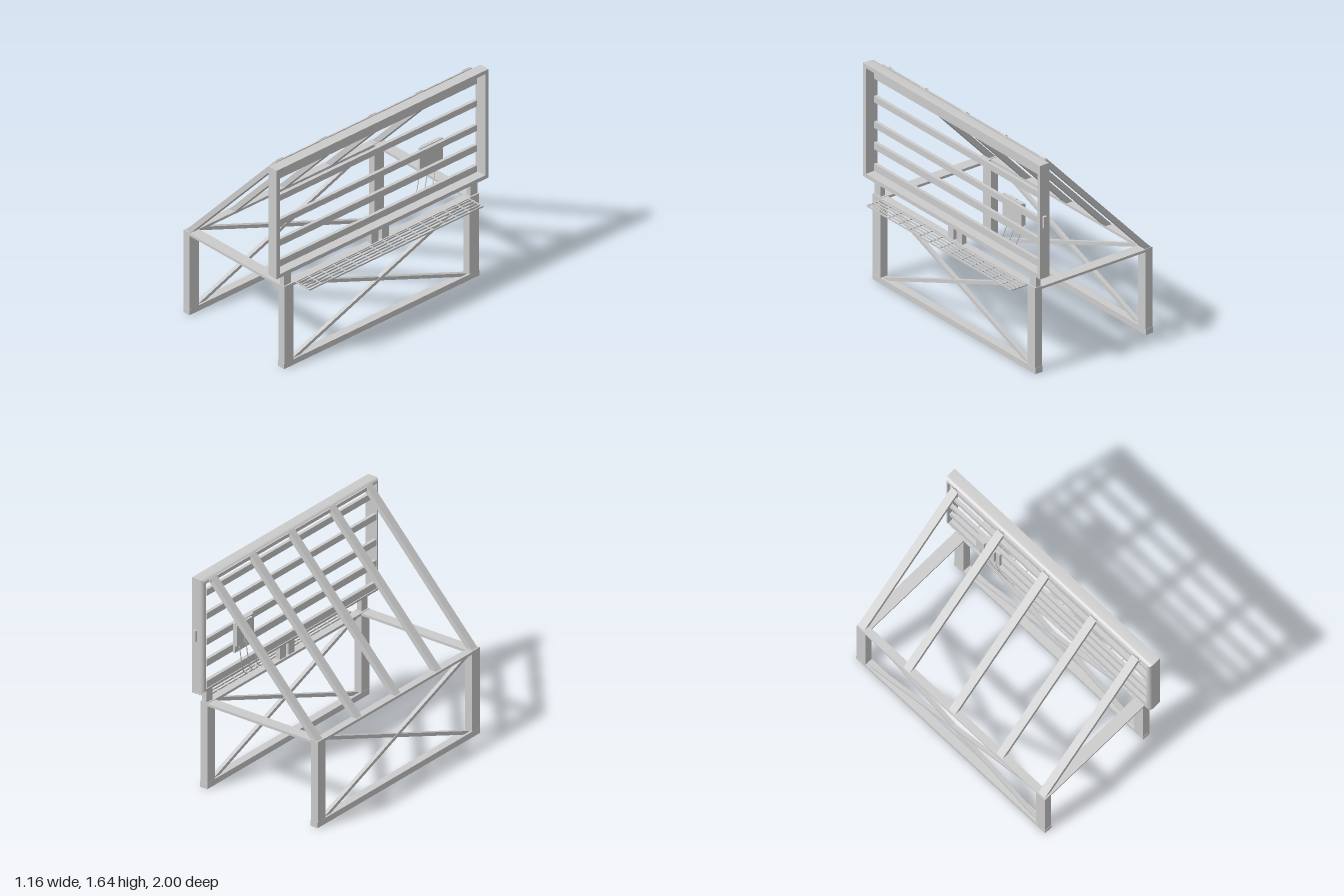
import * as THREE from 'three';
import { toCreasedNormals } from 'three/addons/utils/BufferGeometryUtils.js';

const grey = new THREE.MeshStandardMaterial({ color: 0xcccccc });

export function createModel() {
  const model = new THREE.Group();

  const add = (name, geometry, parent = model) => {
    const mesh = new THREE.Mesh(geometry, grey);
    mesh.name = name;
    parent.add(mesh);
    return mesh;
  };
  // Box given by its limits on each axis
  const box = (name, [x0, x1], [y0, y1], [z0, z1], parent) => {
    const mesh = add(name, new THREE.BoxGeometry(x1 - x0, y1 - y0, z1 - z0), parent);
    mesh.position.set((x0 + x1) / 2, (y0 + y1) / 2, (z0 + z1) / 2);
    return mesh;
  };
  // Polygon extruded symmetrically about its plane
  const prism = (name, points, depth, parent) => {
    const shape = new THREE.Shape(points.map(([x, y]) => new THREE.Vector2(x, y)));
    const geometry = new THREE.ExtrudeGeometry(shape, { depth, bevelEnabled: false });
    geometry.translate(0, 0, -depth / 2);
    return add(name, geometry, parent);
  };
  const group = (name) => {
    const g = new THREE.Group();
    g.name = name;
    model.add(g);
    return g;
  };

  const legZ = [[0.824, 0.912], [-0.906, -0.818]];

  // Two upright frames: base rail, legs, top rail and crossed braces
  for (const [name, x0, x1] of [['rearFrame', -0.582, -0.523], ['frontFrame', 0.378, 0.439]]) {
    const frame = group(name);
    box('baseRail', [x0 - 0.001, x1 + 0.001], [0, 0.045], [-0.908, 0.914], frame);
    for (const z of legZ) box('leg', [x0, x1], [0.045, 0.662], z, frame);
    box('topRail', [x0, x1], [0.64, 0.659], [-0.818, 0.824], frame);
    for (const s of [-1, 1]) {
      const points = [[-0.822, 0.64], [-0.75, 0.64], [0.822, 0.045], [0.75, 0.045]];
      const brace = prism('crossBrace', points.map(([z, y]) => [s * z, y]), 0.03, frame);
      brace.rotation.y = -Math.PI / 2;
      brace.position.set((x0 + x1) / 2 + s * 0.002, 0, 0.003);
    }
  }

  // Flat side beams joining the two frames
  for (const z of legZ) box('sideBeam', [-0.523, 0.378], [0.639, 0.658], z);

  // Sloping back stays
  for (const z of [0.87, 0.463, 0.004, -0.432, -0.872]) {
    const stay = prism('backStay',
      [[-0.572, 0.661], [-0.52, 0.661], [0.372, 1.613], [0.346, 1.639]], 0.06);
    stay.position.z = z;
  }
  box('stayRail', [0.345, 0.357], [1.605, 1.632], [-0.915, 0.91]);

  // Panel surround: a wall section with a rounded back edge, swept round a rectangle
  add('panelFrame', sweptFrame());

  // Horizontal slats inside the panel
  for (const [y0, y1] of [[1.508, 1.556], [1.326, 1.374], [1.128, 1.176], [0.963, 1.016], [0.797, 0.85]])
    box('slat', [0.36, 0.385], [y0, y1], [-0.935, 0.97]);

  // Short posts carrying the panel
  for (const z of [[0.84, 0.905], [0.02, 0.086], [-0.075, -0.01], [-0.9, -0.835]])
    box('panelPost', [0.389, 0.428], [0.655, 0.78], z);

  // Walkway grating
  const grating = group('grating');
  for (let i = 0; i < 5; i++) {
    const x = 0.454 + i * 0.03;
    box('gratingBar', [x - 0.004, x + 0.004], [0.648, 0.66], [-0.82, 0.805], grating);
  }
  for (let i = 0; i < 15; i++) {
    const z = -0.816 + i * 0.1155;
    box('gratingCrossBar', [0.435, 0.577], [0.65, 0.658], [z - 0.004, z + 0.004], grating);
  }

  // Electrical boxes on a back plate, with hanging cables
  const electrics = group('electrics');
  box('backPlate', [0.339, 0.357], [0.958, 1.18], [-0.647, -0.433], electrics);
  for (const z of [[-0.645, -0.565], [-0.555, -0.47]])
    box('controlBox', [0.321, 0.34], [1.009, 1.174], z, electrics);
  for (const z of [-0.46, -0.538, -0.612]) {
    const path = new THREE.CatmullRomCurve3([
      [0.328, 1.02, 0], [0.328, 0.94, 0.012], [0.342, 0.83, 0.05], [0.358, 0.76, 0.09],
      [0.373, 0.716, 0.15], [0.386, 0.725, 0.195], [0.393, 0.772, 0.22],
    ].map(([x, y, dz]) => new THREE.Vector3(x, y, z + dz)));
    add('cable', new THREE.TubeGeometry(path, 32, 0.0035, 6), electrics);
  }

  // Small switch on the panel's end
  box('sideSwitch', [0.409, 0.435], [1.16, 1.246], [-1, -0.975]);

  return model;
}

function sweptFrame() {
  const wall = 0.03, back = 0.355, front = 0.455;
  const cy = 1.2025, hy = 0.4375, cz = 0.009, hz = 0.989;
  // Section as [x, inset from the outside]
  const section = [[front, 0]];
  for (let i = 0; i <= 5; i++) {
    const a = (i / 5) * Math.PI / 2;
    section.push([back + wall * (1 - Math.sin(a)), wall * (1 - Math.cos(a))]);
  }
  section.push([front, wall]);
  const corners = [[1, 1], [1, -1], [-1, -1], [-1, 1]];
  const n = section.length, positions = [], index = [];
  for (const [sy, sz] of corners)
    for (const [x, inset] of section)
      positions.push(x, cy + sy * (hy - inset), cz + sz * (hz - inset));
  for (let k = 0; k < 4; k++)
    for (let j = 0; j < n; j++) {
      const k2 = (k + 1) % 4, j2 = (j + 1) % n;
      const a = k * n + j, b = k * n + j2, c = k2 * n + j2, d = k2 * n + j;
      index.push(a, d, c, a, c, b);
    }
  const geometry = new THREE.BufferGeometry();
  geometry.setAttribute('position', new THREE.Float32BufferAttribute(positions, 3));
  geometry.setIndex(index);
  return toCreasedNormals(geometry, 0.6);
}
